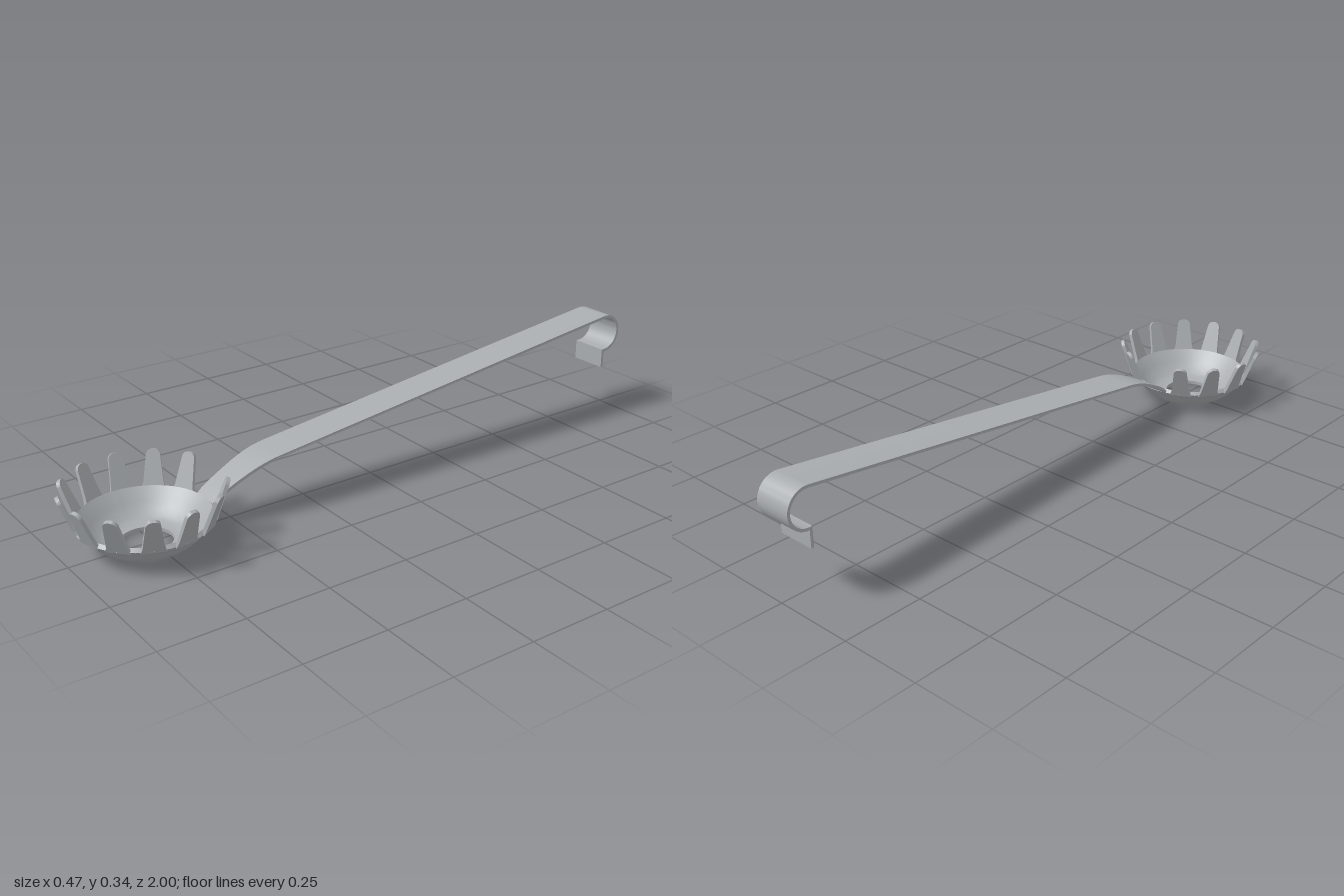
import * as THREE from 'three';
import { toCreasedNormals } from 'three/addons/utils/BufferGeometryUtils.js';

const BOWL_Z = 0.766;
const SLOTS = 13; // twelve teeth, the thirteenth place holds the handle
const V = (x, y) => new THREE.Vector2(x, y);

// Thickens a centre line into a closed outline with mitred corners
function ribbonShape(points, thickness) {
  const left = [], right = [];
  points.forEach((p, i) => {
    const before = p.clone().sub(points[Math.max(i - 1, 0)]).normalize();
    const after = points[Math.min(i + 1, points.length - 1)].clone().sub(p).normalize();
    const dir = before.clone().add(after).normalize();
    const ref = i === 0 ? after : before;
    const n = V(-dir.y, dir.x).multiplyScalar(thickness / 2 / Math.max(dir.dot(ref), 0.5));
    left.push(p.clone().add(n));
    right.unshift(p.clone().sub(n));
  });
  return new THREE.Shape([...left, ...right]);
}

// Shallow bowl with a round drain hole
function bowlGeometry() {
  const outer = new THREE.SplineCurve([
    V(0.09, 0), V(0.118, 0.007), V(0.148, 0.027), V(0.175, 0.054), V(0.197, 0.076),
  ]).getPoints(14);
  const inner = new THREE.SplineCurve([
    V(0.188, 0.086), V(0.167, 0.064), V(0.142, 0.038), V(0.114, 0.018), V(0.088, 0.011),
  ]).getPoints(14);
  const profile = [V(0.075, 0), ...outer, ...inner, V(0.075, 0.011), V(0.075, 0)];
  return toCreasedNormals(new THREE.LatheGeometry(profile, 78), 0.5);
}

// Tapered tooth with a flared root and a rounded tip, leaning outwards
function toothGeometry() {
  const s = new THREE.Shape();
  s.moveTo(-0.035, -0.006);
  s.lineTo(0.035, -0.006);
  s.quadraticCurveTo(0.031, 0.006, 0.029, 0.014);
  s.lineTo(0.0205, 0.094);
  s.bezierCurveTo(0.018, 0.117, -0.018, 0.117, -0.0205, 0.094);
  s.lineTo(-0.029, 0.014);
  s.quadraticCurveTo(-0.031, 0.006, -0.035, -0.006);
  const g = new THREE.ExtrudeGeometry(s, { depth: 0.011, bevelEnabled: false, curveSegments: 10 });
  g.translate(0, 0, -0.011);
  g.rotateX(0.37);
  g.translate(0, 0.077, 0.197);
  return toCreasedNormals(g, 0.6);
}

// Flat strip: curved neck, long straight shaft and a hanging hook
function handleGeometry() {
  const neck = new THREE.SplineCurve([
    V(0.584, 0.07), V(0.56, 0.092), V(0.51, 0.12), V(0.44, 0.152), V(0.38, 0.17), V(0.31, 0.18),
  ]).getPoints(20);
  const hook = [];
  for (let i = 0; i <= 20; i++) {
    const a = THREE.MathUtils.degToRad(82 + (i / 20) * 184);
    hook.push(V(-0.937 + 0.059 * Math.cos(a), 0.276 + 0.0595 * Math.sin(a)));
  }
  const line = [...neck, ...hook, V(-0.932, 0.2165), V(-0.932, 0.158)];
  const g = new THREE.ExtrudeGeometry(ribbonShape(line, 0.009), { depth: 0.12, bevelEnabled: false });
  g.translate(0, 0, -0.06);
  g.rotateY(-Math.PI / 2);
  // narrow the neck towards the bowl
  const pos = g.attributes.position;
  for (let i = 0; i < pos.count; i++) {
    const t = THREE.MathUtils.smoothstep(pos.getZ(i), 0.33, 0.6);
    pos.setX(i, pos.getX(i) * (1 - 0.28 * t));
  }
  return toCreasedNormals(g, 0.6);
}

export function createModel() {
  const steel = new THREE.MeshStandardMaterial({ color: 0xa9adb0 });
  steel.name = 'steel grey';
  const group = new THREE.Group();
  group.name = 'pastaServer';

  const head = new THREE.Group();
  head.name = 'head';
  head.position.z = BOWL_Z;
  group.add(head);

  const bowl = new THREE.Mesh(bowlGeometry(), steel);
  bowl.name = 'bowl';
  head.add(bowl);

  // Ring of teeth, leaving the back free for the handle
  const toothGeo = toothGeometry();
  for (let i = 0; i < SLOTS - 1; i++) {
    const tooth = new THREE.Mesh(toothGeo, steel);
    tooth.name = 'tooth' + (i + 1);
    tooth.rotation.y = Math.PI + ((i + 1) / SLOTS) * Math.PI * 2;
    head.add(tooth);
  }

  const handle = new THREE.Mesh(handleGeometry(), steel);
  handle.name = 'handle';
  group.add(handle);
  return group;
}
